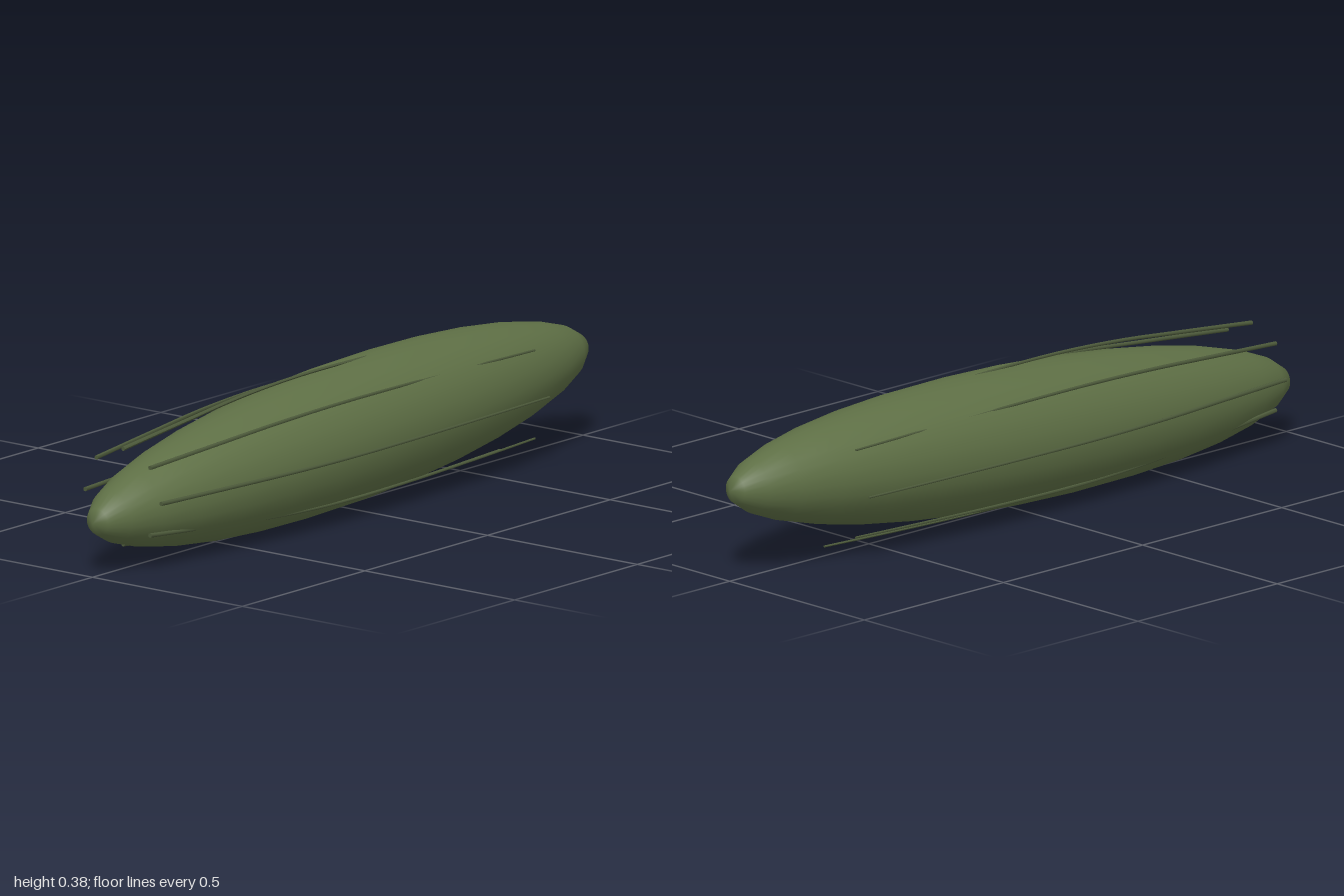
import * as THREE from 'three';

const CENTER_Y = 0.192;

// Distance of a rod from the long axis, sampled along x
const rodProfile = new THREE.SplineCurve([
  [-0.875, 0.127], [-0.62, 0.153], [-0.39, 0.175], [-0.15, 0.186],
  [0.12, 0.184], [0.4, 0.176], [0.66, 0.166],
].map(([x, r]) => new THREE.Vector2(x, r)));

// Tapered capped cylinder along x, bent to follow the profile
function rodGeometry() {
  const segments = 32;
  const geo = new THREE.CylinderGeometry(0.003, 0.006, 1, 8, segments);
  const pos = geo.attributes.position;
  for (let i = 0; i < pos.count; i++) {
    const p = rodProfile.getPoint(THREE.MathUtils.clamp(pos.getY(i) + 0.5, 0, 1));
    // rotate the cylinder (y -> x, x -> -y) and lift it onto the profile
    pos.setXYZ(i, p.x, p.y - pos.getX(i), pos.getZ(i));
  }
  geo.computeVertexNormals();
  return geo;
}

export function createModel() {
  const model = new THREE.Group();
  model.name = 'spindleHull';

  const hullGreen = new THREE.MeshStandardMaterial({ color: 0x5e6f45 });
  hullGreen.name = 'hullGreen';
  const rodGreen = new THREE.MeshStandardMaterial({ color: 0x4c593a });
  rodGreen.name = 'rodGreen';

  // Long ellipsoid with its poles on the x axis, nose tipped slightly up
  const hullGeo = new THREE.SphereGeometry(1, 24, 16);
  hullGeo.rotateZ(-Math.PI / 2);
  hullGeo.scale(1, 0.183, 0.183);
  const hull = new THREE.Mesh(hullGeo, hullGreen);
  hull.name = 'hull';
  hull.rotation.z = 0.05;
  hull.position.y = CENTER_Y + 0.001;
  model.add(hull);

  // Eight level rods spaced evenly around the hull
  const rods = new THREE.Group();
  rods.name = 'rods';
  rods.position.y = CENTER_Y;
  const rodGeo = rodGeometry();
  for (let i = 0; i < 8; i++) {
    const rod = new THREE.Mesh(rodGeo, rodGreen);
    rod.name = `rod${i + 1}`;
    rod.rotation.x = (i * Math.PI) / 4;
    rods.add(rod);
  }
  model.add(rods);

  return model;
}
